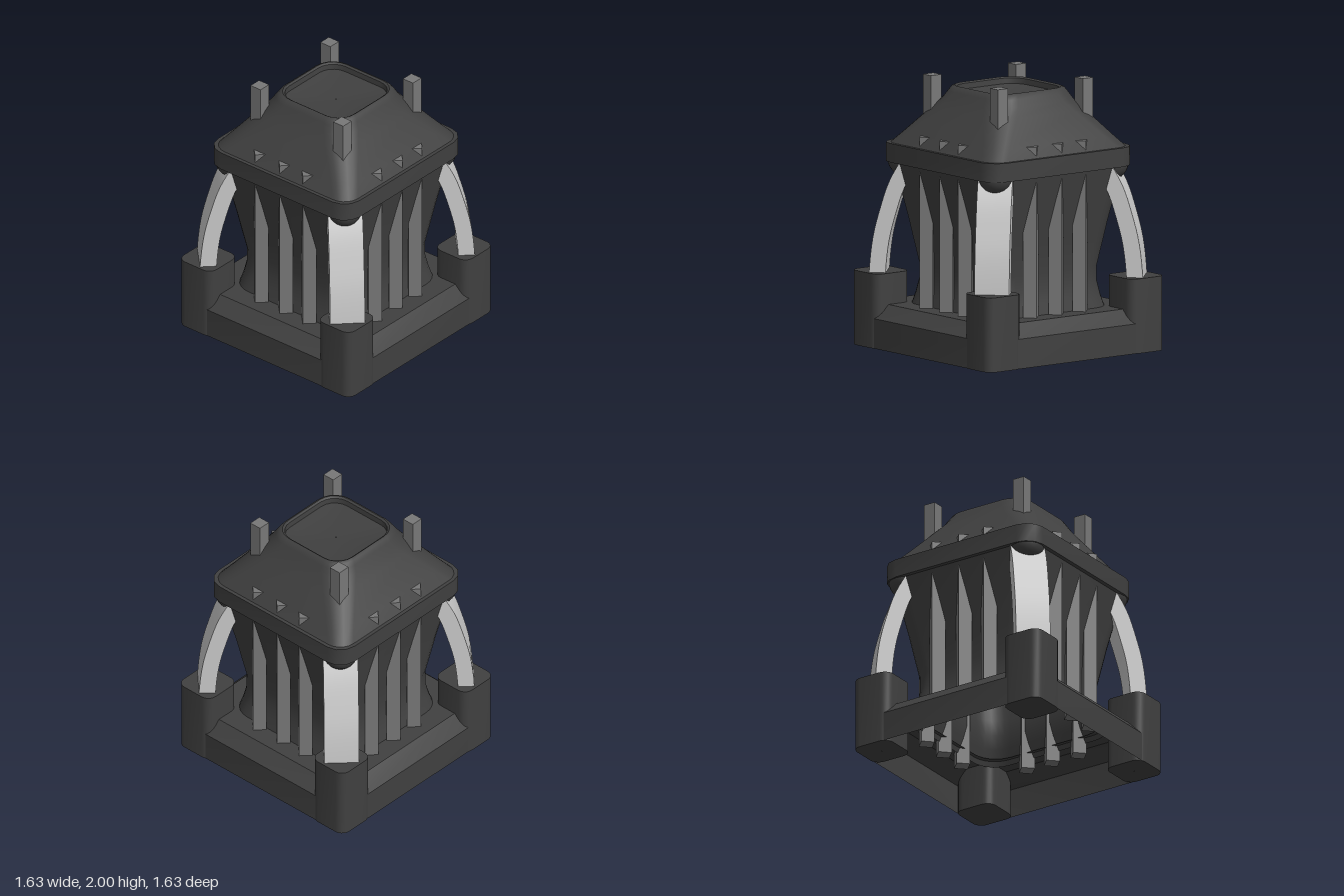
import * as THREE from 'three';
import { toCreasedNormals } from 'three/addons/utils/BufferGeometryUtils.js';

const mat = (color) => new THREE.MeshStandardMaterial({ color, side: THREE.DoubleSide });
const dark = mat(0x404040);
const mid = mat(0x787878);
const light = mat(0xcccccc);

function add(parent, name, geometry, material) {
  const mesh = new THREE.Mesh(geometry, material);
  mesh.name = name;
  parent.add(mesh);
  return mesh;
}

// Skin through closed rings of points, listed from bottom to top (or outside to inside)
function skin(rings, crease) {
  const n = rings[0].length, index = [];
  for (let j = 0; j < rings.length - 1; j++) {
    for (let i = 0; i < n; i++) {
      const a = j * n + i, b = j * n + (i + 1) % n;
      index.push(a, a + n, b, b, a + n, b + n);
    }
  }
  const geo = new THREE.BufferGeometry();
  geo.setAttribute('position', new THREE.Float32BufferAttribute(rings.flat(2), 3));
  geo.setIndex(index);
  return toCreasedNormals(geo, crease);
}

// Rounded squares given as [y, half width, corner radius]
function squareLoft(levels, steps = 4, crease = 0.6) {
  return skin(levels.map(([y, h, r]) => {
    const ring = [];
    for (let c = 0; c < 4; c++) {
      const mid = (c + 0.5) * Math.PI / 2;
      const cx = Math.sign(Math.cos(mid)) * (h - r), cz = Math.sign(Math.sin(mid)) * (h - r);
      for (let s = 0; s <= steps; s++) {
        const t = (c + s / steps) * Math.PI / 2;
        ring.push([cx + r * Math.cos(t), y, cz + r * Math.sin(t)]);
      }
    }
    return ring;
  }), crease);
}

// Curved rectangular arm in the x-y plane, from [distance from axis, y]
function armGeometry() {
  const curve = new THREE.CatmullRomCurve3(
    [[0.945, 0.3], [0.942, 0.55], [0.915, 0.8], [0.866, 1.0], [0.8, 1.2], [0.69, 1.4]]
      .map(([d, y]) => new THREE.Vector3(d, y, 0)));
  const rings = [];
  for (let i = 0; i <= 20; i++) {
    const p = curve.getPoint(i / 20), t = curve.getTangent(i / 20);
    rings.push([[1, -1], [1, 1], [-1, 1], [-1, -1]].map(([u, v]) =>
      [p.x + u * 0.06 * t.y, p.y - u * 0.06 * t.x, v * 0.127]));
  }
  return skin(rings, 0.6);
}

export function createModel() {
  const model = new THREE.Group();

  // Base skirt, hollow underneath, with a sloped shoulder and a flat ledge
  add(model, 'base', squareLoft([
    [0, 0.81, 0.06], [0.22, 0.81, 0.06], [0.32, 0.71, 0.06], [0.32, 0.52, 0.18],
  ]), dark);

  // Waisted body
  add(model, 'body', squareLoft([
    [0.28, 0.56, 0.18], [0.4, 0.53, 0.18], [0.5, 0.512, 0.18], [0.62, 0.512, 0.18],
    [0.8, 0.54, 0.17], [0.95, 0.565, 0.17], [1.15, 0.6, 0.16], [1.36, 0.64, 0.15],
  ], 6), dark);

  // Collar band
  add(model, 'collar', squareLoft([
    [1.37, 0.6, 0.14], [1.36, 0.63, 0.14], [1.36, 0.672, 0.14],
    [1.5, 0.672, 0.14], [1.5, 0.63, 0.13],
  ], 3), dark);

  // Sloped roof with a rounded rim and a shallow bowl
  add(model, 'roof', squareLoft([
    [1.5, 0.645, 0.13], [1.58, 0.582, 0.14], [1.77, 0.44, 0.17], [1.84, 0.39, 0.18],
    [1.89, 0.36, 0.17], [1.92, 0.34, 0.16], [1.93, 0.32, 0.15], [1.92, 0.305, 0.14],
    [1.88, 0.3, 0.13], [1.86, 0.2, 0.09], [1.85, 0.002, 0.001],
  ], 5), dark);

  const postGeo = squareLoft([
    [0, 0.002, 0.001], [0, 0.157, 0.07], [0.55, 0.157, 0.07], [0.55, 0.002, 0.001],
  ], 5);
  const armGeo = armGeometry();
  const finGeo = toCreasedNormals(new THREE.CylinderGeometry(0.07, 0.07, 1.38, 4), 0.3);

  for (let k = 0; k < 4; k++) {
    const angle = k * Math.PI / 2;

    // Corner: post, arm, joint and roof peg
    const corner = new THREE.Group();
    corner.name = 'corner' + (k + 1);
    corner.rotation.y = angle;
    model.add(corner);
    add(corner, 'post', postGeo, dark).position.set(0.66, 0, 0.66);
    add(corner, 'arm', armGeo, light).rotation.y = -Math.PI / 4;
    add(corner, 'armJoint', new THREE.SphereGeometry(0.125, 20, 14), dark)
      .position.set(0.535, 1.375, 0.535);
    add(corner, 'roofPeg', new THREE.BoxGeometry(0.095, 0.36, 0.095), mid)
      .position.set(0.393, 1.82, 0.393);

    // Side: three diamond fins running up through the collar
    const side = new THREE.Group();
    side.name = 'finRow' + (k + 1);
    side.rotation.y = angle;
    model.add(side);
    for (const x of [-0.235, 0, 0.22]) {
      add(side, 'fin', finGeo, mid).position.set(x, 0.89, 0.565);
    }
  }
  return model;
}
